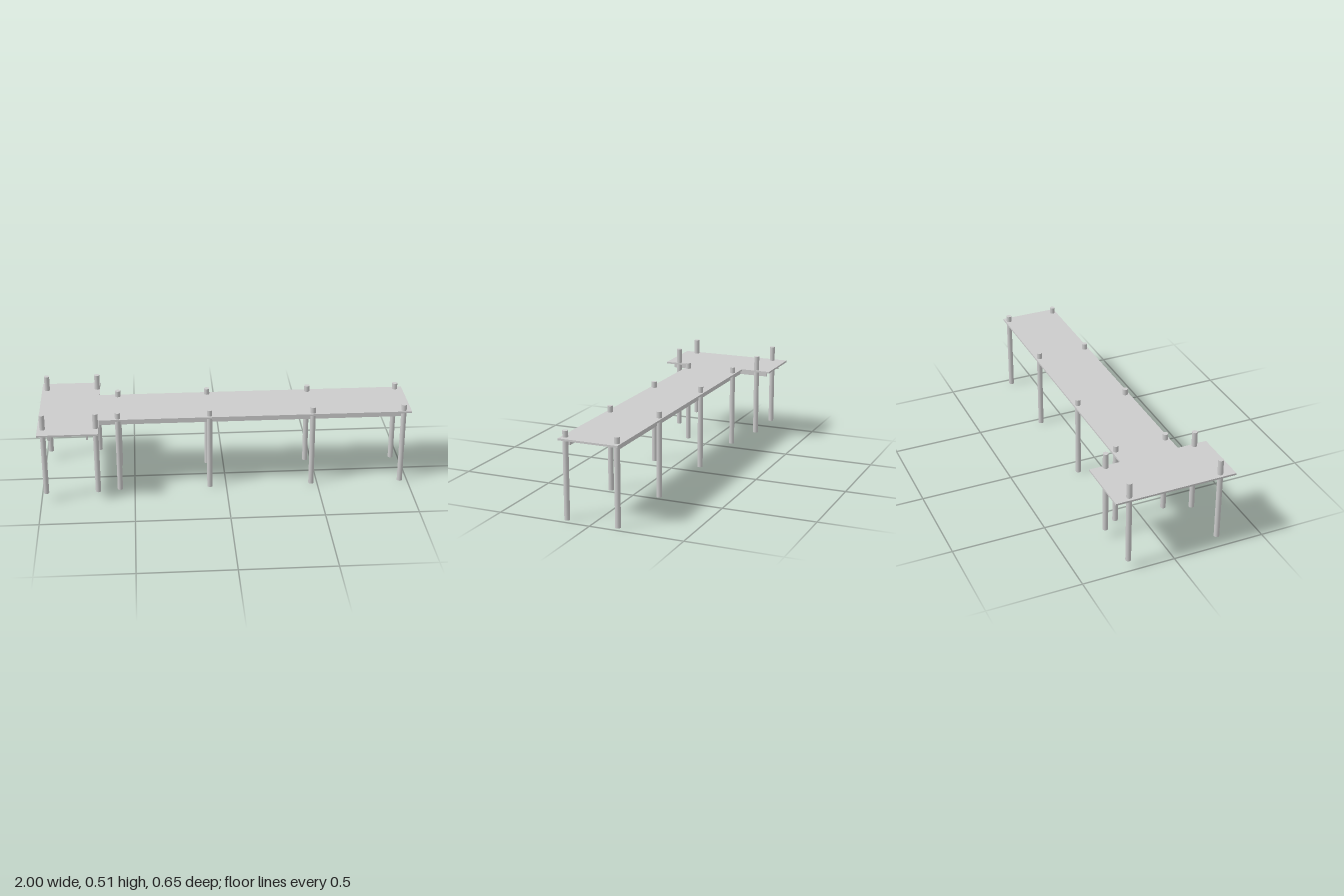
import * as THREE from 'three';

export function createModel() {
  const model = new THREE.Group();
  model.name = 'pier';
  const material = new THREE.MeshStandardMaterial({ color: 0xcccccc });

  const add = (name, geometry, x, y, z) => {
    const mesh = new THREE.Mesh(geometry, material);
    mesh.name = name;
    mesh.position.set(x, y, z);
    model.add(mesh);
    return mesh;
  };

  // T-shaped deck, drawn as (x, -z) and extruded upwards
  const deckShape = new THREE.Shape([
    [-1, -0.325], [-0.68, -0.325], [-0.68, -0.164], [1, -0.164],
    [1, 0.157], [-0.68, 0.157], [-0.68, 0.325], [-1, 0.325],
  ].map(([x, y]) => new THREE.Vector2(x, y)));
  const deck = new THREE.ExtrudeGeometry(deckShape, { depth: 0.01, bevelEnabled: false });
  deck.rotateX(-Math.PI / 2);
  add('deck', deck, 0, 0.418, 0);

  // Joists along the walkway
  const beamY = 0.4015, beamHeight = 0.033;
  for (const z of [0.126, -0.124]) {
    add('walkwayJoist', new THREE.BoxGeometry(1.69, beamHeight, 0.009), 0.108, beamY, z);
  }

  // Cross beams under the pier head
  for (const x of [-0.94, -0.74]) {
    add('headBeam', new THREE.BoxGeometry(0.01, beamHeight, 0.592), x, beamY, 0.004);
  }

  // Round piles passing through the deck
  const pile = (name, x, z, bottom, top) => add(
    name, new THREE.CylinderGeometry(0.0145, 0.0145, top - bottom, 16), x, (top + bottom) / 2, z);

  for (const x of [-0.58, -0.09, 0.467, 0.96]) {
    for (const z of [0.1425, -0.136]) pile('walkwayPile', x, z, 0, 0.461);
  }
  for (const x of [-0.972, -0.695]) {
    for (const z of [0.25, -0.243]) pile('headPile', x, z, 0.05, 0.511);
  }

  return model;
}
